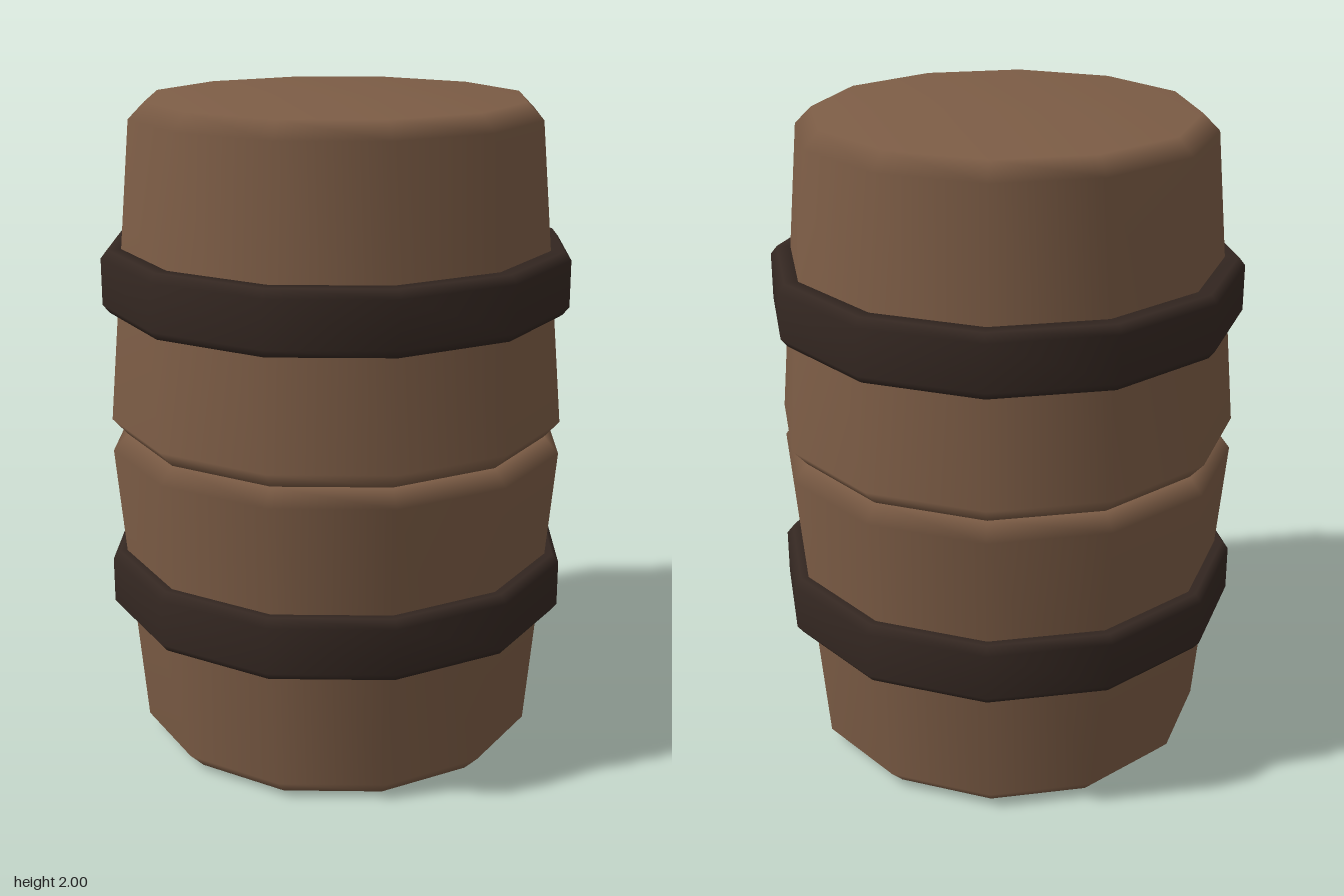
import * as THREE from 'three';
import { mergeVertices } from 'three/addons/utils/BufferGeometryUtils.js';

const SIDES = 12;
const wood = new THREE.MeshStandardMaterial({ color: 0x7d5d46 });
const iron = new THREE.MeshStandardMaterial({ color: 0x352822 });

// Twelve-sided turned part; welding gives area-weighted normals, so only the bevels shade softly
function turned(name, profile, material) {
  const points = profile.map(([r, y]) => new THREE.Vector2(r, y));
  let geometry = new THREE.LatheGeometry(points, SIDES);
  geometry.deleteAttribute('normal');
  geometry.deleteAttribute('uv');
  geometry = mergeVertices(geometry, 1e-4);
  geometry.computeVertexNormals();
  const mesh = new THREE.Mesh(geometry, material);
  mesh.name = name;
  return mesh;
}

export function createModel() {
  const barrel = new THREE.Group();
  barrel.name = 'barrel';

  // Bevelled half: narrow at the outer end, wide at the waist
  const half = [[0, 0], [0.57, 0], [0.62, 0.05], [0.7, 0.95], [0.655, 1], [0, 1]];
  barrel.add(turned('lowerBody', half, wood));
  const mirrored = half.map(([r, y]) => [r, 2 - y]).reverse();
  barrel.add(turned('upperBody', mirrored, wood));

  // Chamfered hoops, inner side buried in the wood
  const hoop = [[0.6, -0.095], [0.695, -0.095], [0.715, -0.07],
    [0.715, 0.07], [0.695, 0.095], [0.6, 0.095], [0.6, -0.095]];
  for (const [name, y] of [['lowerHoop', 0.525], ['upperHoop', 1.477]]) {
    const mesh = turned(name, hoop, iron);
    mesh.position.y = y;
    barrel.add(mesh);
  }
  return barrel;
}
